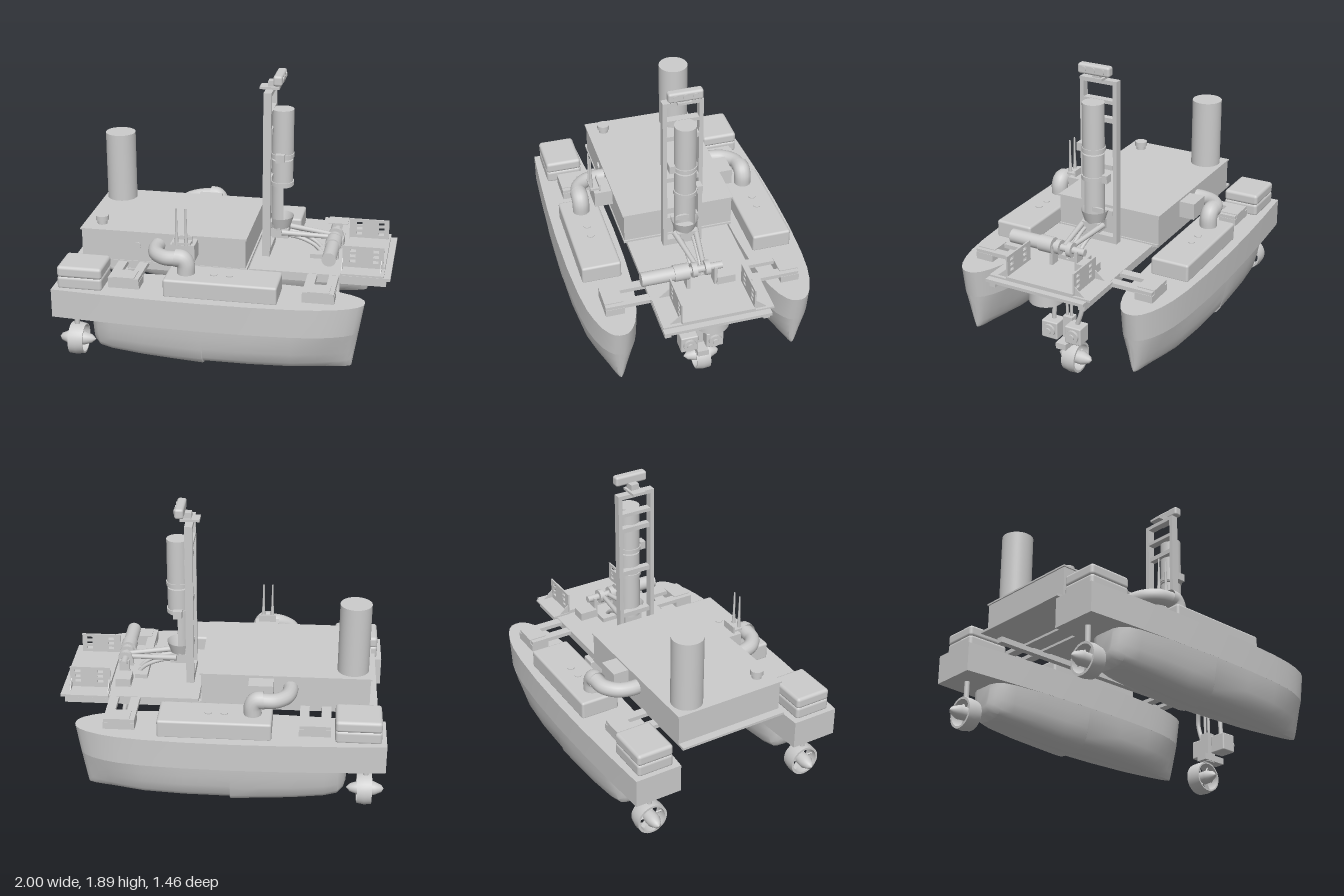
import * as THREE from 'three';
import { toCreasedNormals } from 'three/addons/utils/BufferGeometryUtils.js';
import { RoundedBoxGeometry } from 'three/addons/geometries/RoundedBoxGeometry.js';

const mat = new THREE.MeshStandardMaterial({ color: 0xcccccc });
const thin = new THREE.MeshStandardMaterial({ color: 0xcccccc, side: THREE.DoubleSide });
const V = (x, y, z) => new THREE.Vector3(x, y, z);

function add(parent, name, geo, x = 0, y = 0, z = 0, m = mat) {
  const mesh = new THREE.Mesh(geo, m);
  mesh.name = name;
  mesh.position.set(x, y, z);
  parent.add(mesh);
  return mesh;
}
// box given by its min and max on each axis; r rounds the edges
function box(parent, name, x0, x1, y0, y1, z0, z1, r = 0) {
  const s = [x1 - x0, y1 - y0, z1 - z0];
  const geo = r ? new RoundedBoxGeometry(...s, 3, r) : new THREE.BoxGeometry(...s);
  return add(parent, name, geo, (x0 + x1) / 2, (y0 + y1) / 2, (z0 + z1) / 2);
}
// cylinder between two points
function rod(parent, name, a, b, r, r2 = r, seg = 24) {
  const d = b.clone().sub(a);
  const mesh = add(parent, name, new THREE.CylinderGeometry(r2, r, d.length(), seg));
  mesh.position.copy(a).addScaledVector(d, 0.5);
  mesh.quaternion.setFromUnitVectors(V(0, 1, 0), d.normalize());
  return mesh;
}
function pipe(parent, name, pts, r) {
  const curve = new THREE.CatmullRomCurve3(pts.map(p => V(...p)));
  return add(parent, name, new THREE.TubeGeometry(curve, 40, r, 16), 0, 0, 0, thin);
}
// skin over equal-length rings that advance along +x, with end caps
function loft(rings) {
  const n = rings[0].length, pos = rings.flat(2), idx = [], last = (rings.length - 1) * n;
  for (let i = 0; i < rings.length - 1; i++)
    for (let j = 0; j < n; j++) {
      const a = i * n + j, b = i * n + (j + 1) % n;
      idx.push(a, b, a + n, b, b + n, a + n);
    }
  for (let j = 1; j < n - 1; j++) idx.push(0, j + 1, j, last, last + j, last + j + 1);
  const g = new THREE.BufferGeometry();
  g.setAttribute('position', new THREE.Float32BufferAttribute(pos, 3));
  g.setIndex(idx);
  return toCreasedNormals(g, 0.6);
}

// hull half width along x
const plan = [[-1, .147], [-.7, .166], [-.4, .18], [-.1, .186], [.2, .182], [.45, .168], [.6, .15],
  [.7, .127], [.78, .098], [.83, .068], [.857, .04], [.865, .015]];
// lower hull: x, width factor, keel height
const lower = [[-.77, .4, .37], [-.755, .66, .33], [-.72, .85, .295], [-.64, .95, .28], [-.45, 1, .263],
  [-.25, 1, .25], [-.08, 1, .24], [-.075, 1, .257], [.2, 1, .257], [.45, 1, .257], [.6, 1, .257],
  [.7, 1, .257], [.78, 1, .258], [.83, 1, .26], [.857, 1, .264], [.865, 1, .27]];
const section = [[1, 0], [.97, .25], [.9, .52], [.8, .78], [.66, .91], [.42, .98], [0, 1]];
function halfWidth(x) {
  const i = Math.max(1, plan.findIndex(p => p[0] >= x));
  const [a, b] = [plan[i - 1], plan[i]];
  return a[1] + (b[1] - a[1]) * (x - a[0]) / (b[0] - a[0]);
}
const rake = (x, y) => x - .16 * THREE.MathUtils.smoothstep(x, .4, .865) * (.68 - y);

function hull(parent) {
  const up = plan.map(([x, w]) => [[w, .68], [w, .5], [-w, .5], [-w, .68]].map(([z, y]) => [rake(x, y), y, z]));
  add(parent, 'upperHull', loft(up));
  const both = [...section, ...section.slice(0, -1).reverse().map(([s, d]) => [-s, d])];
  const low = lower.map(([x, f, k]) => {
    const w = halfWidth(x) * f, bow = THREE.MathUtils.smoothstep(x, .3, .86);
    return both.map(([s, d]) => {
      const y = .502 - (.502 - k) * d;
      return [rake(x, y), y, s * w * (1 - .5 * bow * d)];
    });
  });
  add(parent, 'lowerHull', loft(low));
}

// ducted propeller facing +z
function thruster(parent, x, y, z, turn) {
  const g = new THREE.Group();
  g.name = 'thruster';
  const lathe = pts => new THREE.LatheGeometry(pts.map(p => new THREE.Vector2(...p)), 32).rotateX(Math.PI / 2);
  add(g, 'duct', toCreasedNormals(lathe([[.083, -.045], [.097, -.045], [.1, 0], [.092, .045], [.083, .045], [.083, -.045]]), .6), 0, 0, 0, thin);
  add(g, 'hub', lathe([[0, -.12], [.022, -.105], [.042, -.06], [.04, .04], [.025, .085], [0, .11]]));
  for (let i = 0; i < 6; i++) {
    const arm = new THREE.Group();
    arm.name = 'blade';
    arm.rotation.z = i * Math.PI / 3;
    add(arm, 'bladePlate', new THREE.BoxGeometry(.055, .022, .008), .06, 0, 0).rotation.x = .7;
    g.add(arm);
  }
  g.position.set(x, y, z);
  g.rotation.y = turn;
  parent.add(g);
}

// slotted upright plate with a foot and gussets
function slottedBracket(parent, z, side) {
  const s = new THREE.Shape([[.695, .755], [.945, .755], [.945, .895], [.695, .895]].map(p => new THREE.Vector2(...p)));
  for (const x of [.74, .88]) for (let i = 0; i < 3; i++) {
    const y = .79 + i * .034;
    s.holes.push(new THREE.Path([[x, y], [x, y + .018], [x + .035, y + .018], [x + .035, y]].map(p => new THREE.Vector2(...p))));
  }
  add(parent, 'slottedPlate', new THREE.ExtrudeGeometry(s, { depth: .01, bevelEnabled: false }), 0, 0, z - .005);
  const e = z + side * .115;
  box(parent, 'bracketFoot', .695, .955, .745, .758, Math.min(z, e), Math.max(z, e));
  for (const x of [.7, .935]) {
    const t = new THREE.Shape([[0, 0], [.07, 0], [0, .06]].map(p => new THREE.Vector2(...p)));
    const m = add(parent, 'gusset', new THREE.ExtrudeGeometry(t, { depth: .006, bevelEnabled: false }), x, .757, z, thin);
    m.rotation.y = -side * Math.PI / 2;
  }
}

export function createModel() {
  const model = new THREE.Group();
  model.name = 'catamaran';

  // two hulls with their deck fittings, pipes and stern thrusters
  for (const s of [1, -1]) {
    const g = new THREE.Group();
    g.name = s > 0 ? 'frontHull' : 'rearHull';
    g.position.z = s * .545;
    hull(g);
    box(g, 'deckHatch', -.32, .36, .67, .787, -.125, .12, .015);
    box(g, 'sternCase', -.97, -.695, .67, .755, -.115, .115, .02);
    box(g, 'sternCaseLid', -.97, -.695, .745, .818, -.115, .115, .02);
    for (const x of [-.035, .06]) rod(g, 'deckCap', V(x, .78, -.005), V(x, .792, -.005), .022);
    for (const x of [-.67, .5]) {
      box(g, 'beamPad', x, x + .19, .68, .725, -.06, .055);
      box(g, 'beamClamp', x + .03, x + .16, .72, .75, -.06, .055);
    }
    rod(g, 'thrusterPost', V(-.892, .38, 0), V(-.892, .51, 0), .016);
    thruster(g, -.885, .295, 0, Math.PI / 2);
    model.add(g);
    pipe(model, 'ventPipe', [[-.42, .865, s * .32], [-.42, .865, s * .4], [-.395, .867, s * .475],
      [-.33, .87, s * .53], [-.25, .875, s * .54]], .046);
    pipe(model, 'ventElbow', [[-.27, .88, s * .54], [-.225, .875, s * .54], [-.205, .845, s * .54], [-.203, .78, s * .54]], .054);
    box(model, 'sideBox', -.32, -.17, .82, .925, Math.min(s * .34, s * .455), Math.max(s * .34, s * .455));
    box(model, 'deckRail', -.85, .97, .69, .725, s * .3 - .02, s * .3 + .02);
  }

  // crossbeams
  for (const x of [-.67, -.54, .5, .63]) box(model, 'crossbeam', x, x + .057, .72, .745, -.6, .6);

  // equipment box, its fittings and antennas
  box(model, 'basePlate', -.95, .13, .735, .75, -.355, .345);
  box(model, 'equipmentBox', -.9, .12, .745, .937, -.355, .34);
  box(model, 'boxLid', -.908, .128, .935, .945, -.362, .348);
  rod(model, 'sidePort', V(-.55, .853, .335), V(-.55, .853, .35), .023);
  rod(model, 'domeCylinder', V(-.795, .94, -.24), V(-.795, 1.385, -.24), .095, .095, 48);
  rod(model, 'beaconBase', V(-.795, .94, .245), V(-.795, .975, .245), .03);
  rod(model, 'beaconCap', V(-.795, .97, .245), V(-.795, 1, .245), .04);
  box(model, 'antennaBracket', -.3, -.19, .935, .948, .41, .475);
  box(model, 'antennaPlate', -.3, -.19, .9, .97, .41, .42);
  for (const x of [-.275, -.217]) {
    rod(model, 'antennaBase', V(x, .93, .465), V(x, 1.01, .465), .013, .009, 12);
    rod(model, 'antenna', V(x, 1, .465), V(x, 1.165, .465), .008, .005, 12);
  }

  // working deck
  box(model, 'workDeck', .14, .995, .728, .747, -.325, .328);
  box(model, 'trayPlate', .7, .955, .745, .77, -.235, .21);
  slottedBracket(model, .21, 1);
  slottedBracket(model, -.235, -1);
  rod(model, 'sensorPod', V(.855, .63, 0), V(.855, .74, 0), .102, .102, 40);

  // mast and camera
  for (const z of [.108, -.113]) box(model, 'mastPost', .187, .235, .745, 1.78, z - .013, z + .013);
  box(model, 'mastTopBar', .187, .235, 1.77, 1.795, -.126, .121);
  box(model, 'mastCrossbar', .187, .235, 1.65, 1.672, -.113, .108);
  box(model, 'mastFootBar', .187, .235, .745, .79, -.113, .108);
  box(model, 'cameraMount', .15, .27, 1.795, 1.81, -.045, .04);
  box(model, 'cameraNeck', .2, .26, 1.805, 1.845, -.03, .025);
  box(model, 'camera', .24, .295, 1.832, 1.895, -.108, .103, .015);
  for (const z of [-.06, 0, .06]) rod(model, 'cameraLens', V(.29, 1.864, z), V(.3, 1.864, z), .018);

  // vertical launch tube with an open half shell and catch cup below
  const tx = .29;
  rod(model, 'upperTube', V(tx, 1.36, 0), V(tx, 1.67, 0), .067, .067, 40);
  rod(model, 'lowerTube', V(tx, 1.18, 0), V(tx, 1.35, 0), .066, .066, 40);
  add(model, 'halfShell', new THREE.CylinderGeometry(.066, .066, .28, 24, 1, true, Math.PI, Math.PI), tx, 1.04, 0, thin);
  add(model, 'catchCup', new THREE.CylinderGeometry(.085, .06, .08, 24, 1, true, -.5, Math.PI + 1), .28, .94, 0, thin);
  for (const [y, z] of [[1.38, .085], [1.2, -.085]]) {
    rod(model, 'tubeClamp', V(tx, y - .012, 0), V(tx, y + .012, 0), .073, .073, 40);
    box(model, 'clampLatch', tx - .03, tx + .025, y - .025, y + .025, z - .018, z + .018);
  }
  for (const y of [.95, 1.25, 1.55]) box(model, 'tubeHolder', .2, .24, y - .015, y + .015, -.1, .1);

  // folding arm and winch
  box(model, 'armPivot', .24, .34, .85, .91, -.06, .06);
  for (const s of [1, -1]) {
    rod(model, 'armBar', V(.3, .89, s * .065), V(.62, .865, s * .02), .018, .014, 12);
    pipe(model, 'armBrace', [[.29, .87, s * .04], [.4, .855, s * .035], [.5, .81, s * .03], [.56, .75, s * .03]], .012);
    box(model, 'winchStand', .595, .66, .745, .87, s * .085 - .01, s * .085 + .01);
  }
  rod(model, 'winchMotor', V(.628, .862, .1), V(.628, .862, .37), .043, .043, 32);
  rod(model, 'winchCollar', V(.628, .862, .08), V(.628, .862, .17), .05, .05, 32);
  rod(model, 'winchShaft', V(.628, .862, -.13), V(.628, .862, .1), .022);
  for (const z of [-.05, .03]) rod(model, 'winchSpool', V(.628, .862, z), V(.628, .862, z + .03), .045);
  box(model, 'winchGearbox', .575, .67, .745, .8, -.205, -.09);
  box(model, 'armBase', .485, .565, .745, .775, -.09, .1);

  // underwater probe with lamps and a side thruster
  for (const z of [.015, -.015]) rod(model, 'probeRod', V(.6, .38, z), V(.6, .74, z), .009, .009, 12);
  box(model, 'probeBlock', .575, .63, .21, .4, -.035, .03);
  box(model, 'probeFoot', .545, .71, .215, .255, -.035, .035);
  for (const [z, top] of [[.085, .06], [-.077, -.09]]) {
    box(model, 'lampBody', .6, .7, .265, .38, z - .055, z + .055, .008);
    rod(model, 'lampRim', V(.69, .322, z), V(.715, .322, z), .042);
    rod(model, 'lampLens', V(.71, .322, z), V(.725, .322, z), .02);
    pipe(model, 'lampCable', [[.61, .735, top], [.62, .62, top], [.64, .5, top * 1.25], [.64, .37, z]], .014);
  }
  thruster(model, .577, .107, -.02, 0);

  return model;
}
